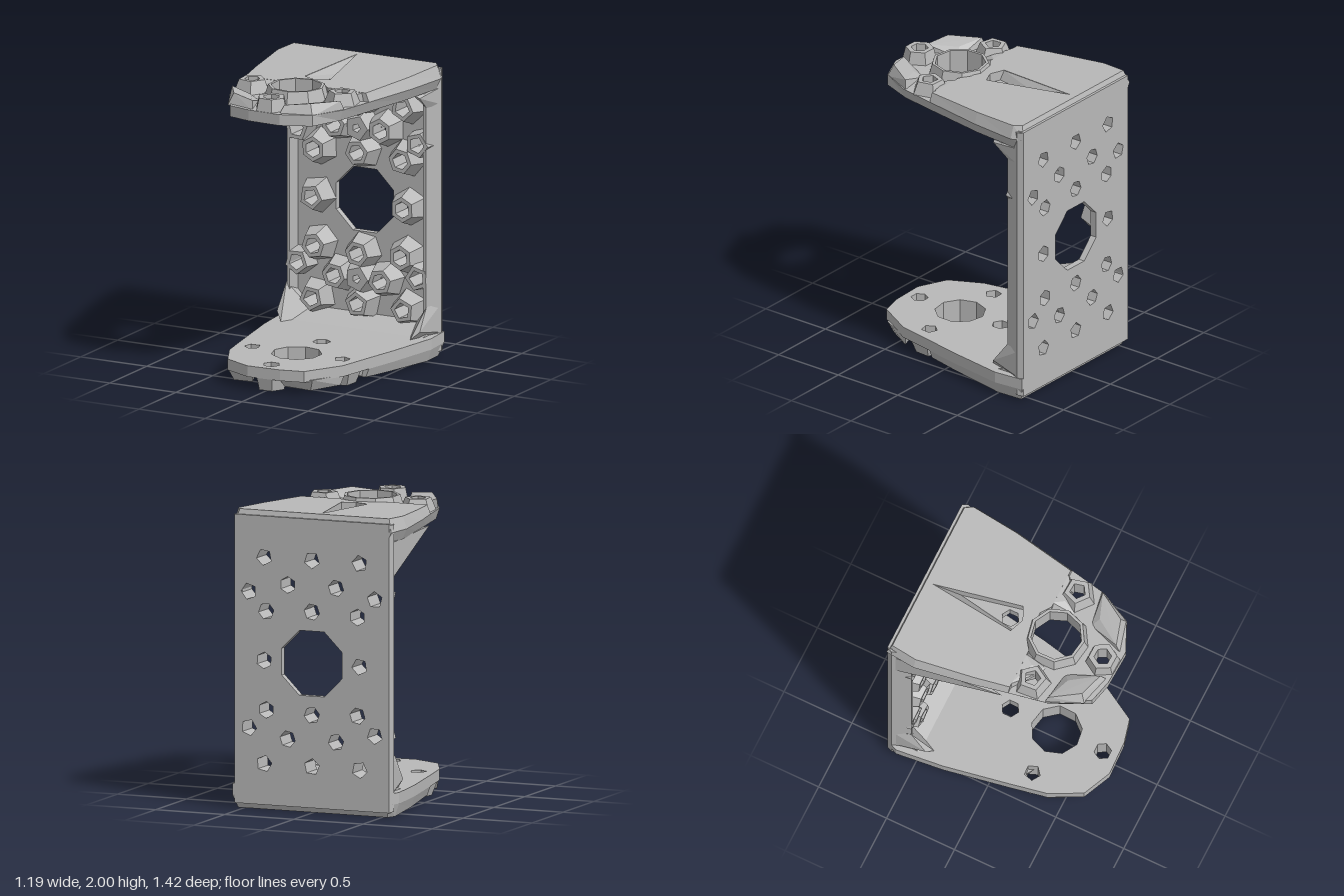
import * as THREE from 'three';
import { ConvexGeometry } from 'three/addons/geometries/ConvexGeometry.js';

const grey = new THREE.MeshStandardMaterial({ color: 0xb8b8b8, flatShading: true, side: THREE.DoubleSide });
grey.name = 'plain grey';

function add(parent, geometry, name) {
  const mesh = new THREE.Mesh(geometry, grey);
  mesh.name = name;
  parent.add(mesh);
  return mesh;
}

// Faceted hole: centre (x, v) on the plate, radius r, n sides, start angle a
function holePath({ x, v, r, n, a }) {
  const pts = [];
  for (let i = 0; i < n; i++) {
    const t = a + (i / n) * Math.PI * 2;
    pts.push(new THREE.Vector2(x + r * Math.sin(t), v - r * Math.cos(t)));
  }
  return new THREE.Path(pts);
}

// Plate extruded from an outline of [x, v] points with holes
function plate(outline, holes, depth) {
  const shape = new THREE.Shape(outline.map(([x, v]) => new THREE.Vector2(x, v)));
  shape.holes = holes;
  return new THREE.ExtrudeGeometry(shape, { depth, bevelEnabled: false });
}

// Move every vertex of a geometry by a rule
function reshape(geometry, rule) {
  const p = geometry.attributes.position;
  const v = new THREE.Vector3();
  for (let i = 0; i < p.count; i++) {
    rule(v.fromBufferAttribute(p, i));
    p.setXYZ(i, v.x, v.y, v.z);
  }
  geometry.computeVertexNormals();
  return geometry;
}

// Sloped collar standing around a hole, along +y
function collar({ r, n, a }, base, top, height) {
  const profile = [[base, 0], [top, height], [r, height], [r, 0]];
  return new THREE.LatheGeometry(profile.map(([x, y]) => new THREE.Vector2(x, y)), n, a);
}

function hull(points) {
  return new ConvexGeometry(points.map(p => new THREE.Vector3(...p)));
}

// Thin perforated rear wall with tall collars and side rails
function rearWall() {
  const g = new THREE.Group();
  g.name = 'rearWall';
  const spots = [];
  for (const s of [1, -1]) {
    spots.push([0, s * 0.69], [0, s * 0.345]);
    for (const m of [1, -1]) {
      spots.push([m * 0.345, s * 0.69], [m * 0.175, s * 0.515], [m * 0.455, s * 0.455], [m * 0.33, s * 0.33]);
    }
  }
  spots.push([-0.345, 0], [0.345, 0]);
  const holes = spots.map(([x, y], i) => ({ x, v: 1 + y, r: 0.056, n: 5 + (i % 2), a: i * 0.7 }));
  const big = { x: 0, v: 1, r: 0.235, n: 8, a: Math.PI / 8 };
  const sheet = plate([[-0.56, 0.035], [0.56, 0.035], [0.56, 1.965], [-0.56, 1.965]],
    [...holes, big].map(holePath), 0.045);
  add(g, sheet.translate(0, 0, -0.71), 'wallSheet');

  // Two closed collars on the centre line
  const blind = [0.485, 1.515].map(v => ({ x: 0, v, r: 0.03, n: 5, a: 0.3 }));
  for (const h of [...holes, ...blind]) {
    const base = Math.abs(h.x) > 0.4 ? 0.105 : 0.13;
    const c = collar(h, base, 0.086, 0.118).rotateX(Math.PI / 2);
    add(g, c.translate(h.x, h.v, -0.665), 'holeCollar');
  }

  // Rails with a sloped outer face
  for (const s of [1, -1]) {
    const pts = [];
    for (const y of [0.04, 1.96]) {
      pts.push([s * 0.505, y, -0.7], [s * 0.56, y, -0.71], [s * 0.577, y, -0.67], [s * 0.525, y, -0.55], [s * 0.505, y, -0.55]);
    }
    add(g, hull(pts), 'sideRail');
  }
  return g;
}

// Flange with a raised rear deck, tapered groove and collared front holes;
// inset narrows its inner face
function flange(inset) {
  const g = new THREE.Group();
  g.name = 'flange';
  const rear = [[-0.48, -0.14], [-0.53, 0.1], [-0.595, 0.5], [-0.575, 0.71], [0.56, 0.71], [0.595, 0.63], [0.56, 0.3], [0.48, -0.14]];
  const front = [[0.43, -0.4], [0.32, -0.62], [0.12, -0.71], [-0.12, -0.7], [-0.28, -0.66], [-0.43, -0.4]];
  const collared = [
    { x: -0.34, v: -0.25, r: 0.055, n: 5, a: 0.4, base: 0.125, top: 0.09 },
    { x: 0.34, v: -0.25, r: 0.055, n: 5, a: 1.2, base: 0.125, top: 0.09 },
    { x: 0, v: -0.6, r: 0.058, n: 6, a: 0.5, base: 0.115, top: 0.095 },
    { x: 0, v: -0.26, r: 0.17, n: 9, a: 0.2, base: 0.215, top: 0.19 },
  ];
  const plain = { x: 0, v: 0.08, r: 0.06, n: 6, a: 0 };
  const lower = plate([...rear, ...front], [...collared, plain].map(holePath), 0.075);
  lower.rotateX(-Math.PI / 2).translate(0, 1.835, 0);
  add(g, reshape(lower, v => {
    if (v.y < 1.87 && Math.abs(v.x) > 0.41) v.x *= inset;
  }), 'flangeSheet');

  // Rear deck with sloped sides and rear edge, falling gently toward the front
  const bay = [[0.17, -0.14], [0.1, -0.09], [-0.1, -0.09], [-0.17, -0.14]];
  const groove = new THREE.Path([[-0.04, 0.63], [-0.1, 0.03], [0, -0.01], [0.09, 0.03]].map(p => new THREE.Vector2(...p)));
  const deck = plate([...rear, ...bay], [groove], 0.09).rotateX(-Math.PI / 2).translate(0, 1.91, 0);
  add(g, reshape(deck, v => {
    if (v.y < 1.95) return;
    if (Math.abs(v.x) > 0.4) v.x *= 0.95;
    if (v.z < -0.7) v.z = -0.68;
    v.y = 2 - 0.03 * (v.z + 0.71) / 0.85;
  }), 'rearDeck');
  const slope = new THREE.BufferGeometry();
  slope.setAttribute('position', new THREE.Float32BufferAttribute([
    -0.04, 1.995, -0.63, -0.1, 1.973, -0.03, 0, 1.915, -0.45,
    -0.1, 1.973, -0.03, -0.07, 1.912, -0.02, 0, 1.915, -0.45], 3));
  slope.computeVertexNormals();
  add(g, slope, 'grooveSlope');

  for (const h of collared) {
    add(g, collar(h, h.base, h.top, 0.085).translate(h.x, 1.91, -h.v), 'flangeCollar');
  }
  // Ribs from the deck and front collar to the outer edge
  for (const s of [1, -1]) {
    add(g, hull([[s * 0.47, 1.9, 0.12], [s * 0.44, 1.97, 0.13], [s * 0.2, 1.97, 0.13], [s * 0.16, 1.9, 0.13],
      [s * 0.21, 1.9, 0.3], [s * 0.25, 1.96, 0.2]]), 'deckRib');
    add(g, hull([[s * 0.43, 1.9, 0.38], [s * 0.32, 1.9, 0.62], [s * 0.41, 1.97, 0.4], [s * 0.29, 1.98, 0.59],
      [s * 0.19, 1.9, 0.42], [s * 0.1, 1.9, 0.68], [s * 0.12, 1.96, 0.64], [s * 0.24, 1.95, 0.46]]), 'frontRib');
  }
  return g;
}

export function createModel() {
  const model = new THREE.Group();
  model.name = 'bracket';
  model.add(rearWall());

  const top = flange(0.94);
  top.name = 'topFlange';
  const bottom = flange(1);
  bottom.name = 'bottomFlange';
  bottom.rotation.z = Math.PI;
  bottom.position.y = 2;
  model.add(top, bottom);

  // Corner gussets: side, wall reach (y), flange reach (z), flange face (y)
  for (const [s, y, z, face] of [[-1, 1.6, 0.1, 1.84], [1, 1.72, -0.42, 1.84], [-1, 0.4, -0.4, 0.165], [1, 0.36, -0.4, 0.165]]) {
    add(model, hull([[s * 0.53, y, -0.55], [s * 0.57, y, -0.68], [s * 0.57, face, -0.68], [s * 0.36, face, -0.66],
      [s * 0.49, face, z], [s * 0.54, (face * 3 + y) / 4, -0.44]]), 'cornerGusset');
  }
  // Low fillets across the inside corners
  for (const [face, d] of [[1.85, -1], [0.15, 1]]) {
    const pts = [];
    for (const x of [-0.54, 0.54]) pts.push([x, face, -0.69], [x, face, -0.44], [x, face + d * 0.08, -0.66]);
    add(model, hull(pts), 'cornerFillet');
  }
  return model;
}
